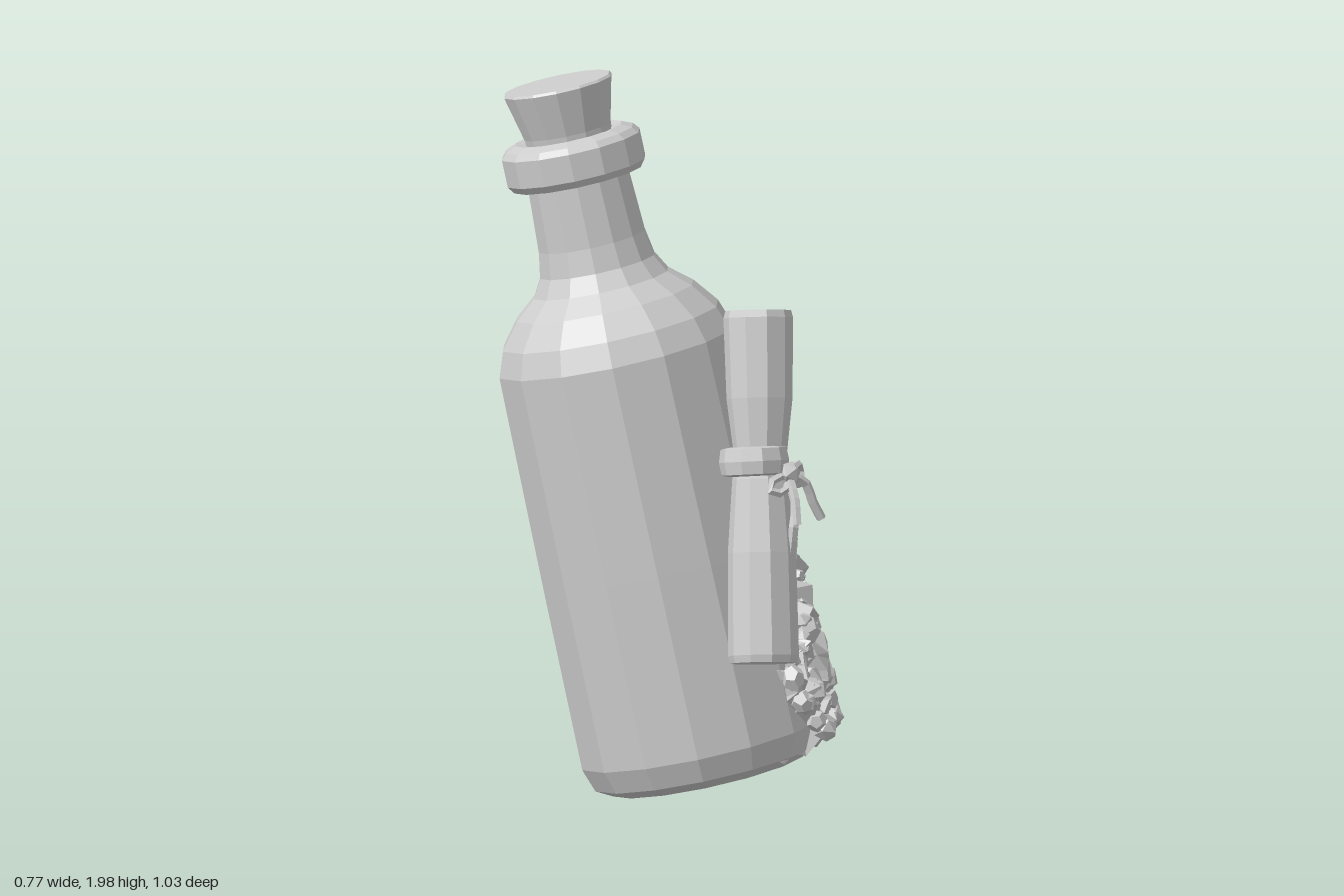
import * as THREE from 'three';

const V = (x, y, z) => new THREE.Vector3(x, y, z);

// seeded random numbers in 0..1
function makeRandom(seed) {
  return () => {
    seed = (seed * 16807) % 2147483647;
    return seed / 2147483647;
  };
}

// piecewise linear lookup in [[x, y], ...]
function lookup(table, x) {
  if (x <= table[0][0]) return table[0][1];
  for (let i = 1; i < table.length; i++) {
    const [x0, y0] = table[i - 1], [x1, y1] = table[i];
    if (x <= x1) return y0 + (y1 - y0) * (x - x0) / (x1 - x0);
  }
  return table[table.length - 1][1];
}

// group whose local y axis runs from a to b
function axisGroup(name, a, b) {
  const g = new THREE.Group();
  g.name = name;
  g.position.copy(a);
  g.quaternion.setFromUnitVectors(V(0, 1, 0), b.clone().sub(a).normalize());
  return g;
}

export function createModel() {
  const grey = new THREE.MeshStandardMaterial({ color: 0xcccccc, flatShading: true });
  grey.name = 'plain grey';
  const model = new THREE.Group();
  model.name = 'corkedBottle';

  const add = (parent, name, geometry) => {
    const mesh = new THREE.Mesh(geometry, grey);
    mesh.name = name;
    parent.add(mesh);
    return mesh;
  };
  const lathe = (points, sides) =>
    new THREE.LatheGeometry(points.map(([r, y]) => new THREE.Vector2(r, y)), sides);

  // leaning bottle: body, lip and cork share one axis
  const bottle = axisGroup('bottle', V(-0.015, 0.08, 0.1), V(-0.115, 1.965, -0.35));
  model.add(bottle);
  add(bottle, 'glassBody', lathe([
    [0, 0], [0.27, 0], [0.315, 0.025], [0.338, 0.09], [0.336, 0.6], [0.33, 1.19],
    [0.305, 1.26], [0.25, 1.33], [0.19, 1.38], [0.162, 1.43], [0.15, 1.5], [0.14, 1.7], [0.12, 1.78], [0, 1.78],
  ], 14));
  add(bottle, 'lip', lathe([
    [0.13, 1.675], [0.18, 1.675], [0.195, 1.695], [0.195, 1.77], [0.18, 1.787], [0.15, 1.8], [0.11, 1.79],
  ], 14));
  add(bottle, 'cork', lathe([[0, 1.76], [0.118, 1.76], [0.122, 1.81], [0.152, 1.935], [0.147, 1.942], [0, 1.942]], 14));

  // barnacle crust: a jagged sheet around the lower side, sunk into the glass outside its outline
  const rand = makeRandom(4217);
  const frontEdge = [[0.04, 68], [0.14, 84], [0.24, 92], [0.41, 62], [0.58, 47], [0.69, 18]];
  const backEdge = [[0.04, -36], [0.2, -48], [0.45, -54], [0.63, -34], [0.69, -8]];
  const inside = (deg, t) =>
    t > 0.05 && t < 0.69 && deg < lookup(frontEdge, t) && deg > lookup(backEdge, t);
  const smoothSpot = (deg, t) => Math.hypot((deg - 2) / 20, (t - 0.47) / 0.11) < 1;
  const onBottle = (deg, t, r) => {
    const a = THREE.MathUtils.degToRad(deg);
    return V(r * Math.cos(a), t, r * Math.sin(a));
  };

  const cols = 26, rows = 17, positions = [], index = [];
  for (let j = 0; j <= rows; j++) {
    for (let i = 0; i <= cols; i++) {
      const deg = -62 + 162 * (i + (rand() - 0.5) * 0.7) / cols;
      const t = 0.02 + 0.72 * (j + (rand() - 0.5) * 0.7) / rows;
      const bump = 0.005 + 0.055 * rand();
      const lift = !inside(deg, t) ? -0.03 : smoothSpot(deg, t) ? 0.03 : bump;
      positions.push(...onBottle(deg, t, 0.335 + lift).toArray());
      if (i < cols && j < rows) {
        const a = j * (cols + 1) + i, b = a + 1, c = a + cols + 1, d = c + 1;
        if (rand() < 0.5) index.push(a, c, b, b, c, d);
        else index.push(a, c, d, a, d, b);
      }
    }
  }
  const sheet = new THREE.BufferGeometry();
  sheet.setAttribute('position', new THREE.Float32BufferAttribute(positions, 3));
  sheet.setIndex(index);
  sheet.computeVertexNormals();
  add(bottle, 'crustSheet', sheet);

  // loose angular chips over the crust
  const crust = new THREE.Group();
  crust.name = 'crustChips';
  bottle.add(crust);
  const chipShapes = [new THREE.IcosahedronGeometry(1, 0), new THREE.OctahedronGeometry(1, 0), new THREE.DodecahedronGeometry(1, 0)];
  for (let n = 0; n < 260; n++) {
    const deg = -56 + 150 * rand(), t = 0.06 + 0.64 * rand();
    if (!inside(deg, t) || smoothSpot(deg, t)) continue;
    const chip = add(crust, 'chip', chipShapes[n % 3]);
    const size = 0.022 + 0.018 * rand();
    chip.position.copy(onBottle(deg, t, 0.345 + 0.02 * rand()));
    chip.scale.set(size, size * (0.7 + 0.6 * rand()), size * (0.7 + 0.5 * rand()));
    chip.rotation.set(rand() * 6, rand() * 6, rand() * 6);
  }

  // rolled scroll leaning on the front, pinched at the tie
  const scroll = axisGroup('scroll', V(-0.185, 0.48, 0.435), V(0.022, 1.4, 0.245));
  model.add(scroll);
  add(scroll, 'rolledPaper', lathe([
    [0, 0.015], [0.07, 0.012], [0.092, 0], [0.097, 0.02], [0.093, 0.3], [0.078, 0.5],
    [0.07, 0.55], [0.076, 0.6], [0.09, 0.72], [0.095, 0.94], [0.09, 0.96], [0.07, 0.95], [0, 0.945],
  ], 10));
  const band = add(scroll, 'tieBand', lathe([[0.068, 0.51], [0.09, 0.515], [0.096, 0.55], [0.09, 0.585], [0.068, 0.59]], 10));
  band.rotation.z = 0.05;

  // knot, bow loops and hanging tails of the tie
  const knot = add(model, 'tieKnot', new THREE.IcosahedronGeometry(0.035, 0));
  knot.position.set(-0.055, 0.985, 0.415);
  const cord = (name, pts, r) =>
    add(model, name, new THREE.TubeGeometry(new THREE.CatmullRomCurve3(pts.map(p => V(...p))), 6, r, 5));
  cord('tieTail', [[-0.06, 0.98, 0.42], [-0.065, 0.9, 0.45], [-0.085, 0.85, 0.46], [-0.09, 0.775, 0.455]], 0.014);
  cord('tieTail', [[-0.05, 0.98, 0.42], [-0.01, 0.95, 0.44], [0.005, 0.9, 0.45], [0.025, 0.85, 0.465]], 0.014);
  cord('tieTail', [[-0.06, 0.98, 0.42], [-0.08, 0.93, 0.46], [-0.1, 0.86, 0.485]], 0.012);
  cord('bowLoop', [[-0.06, 0.98, 0.42], [-0.11, 0.98, 0.41], [-0.13, 0.95, 0.41], [-0.09, 0.94, 0.43], [-0.06, 0.97, 0.42]], 0.012);
  cord('bowLoop', [[-0.05, 0.98, 0.42], [0, 1.0, 0.4], [0.025, 0.97, 0.39], [-0.01, 0.94, 0.42], [-0.05, 0.97, 0.42]], 0.012);

  return model;
}
